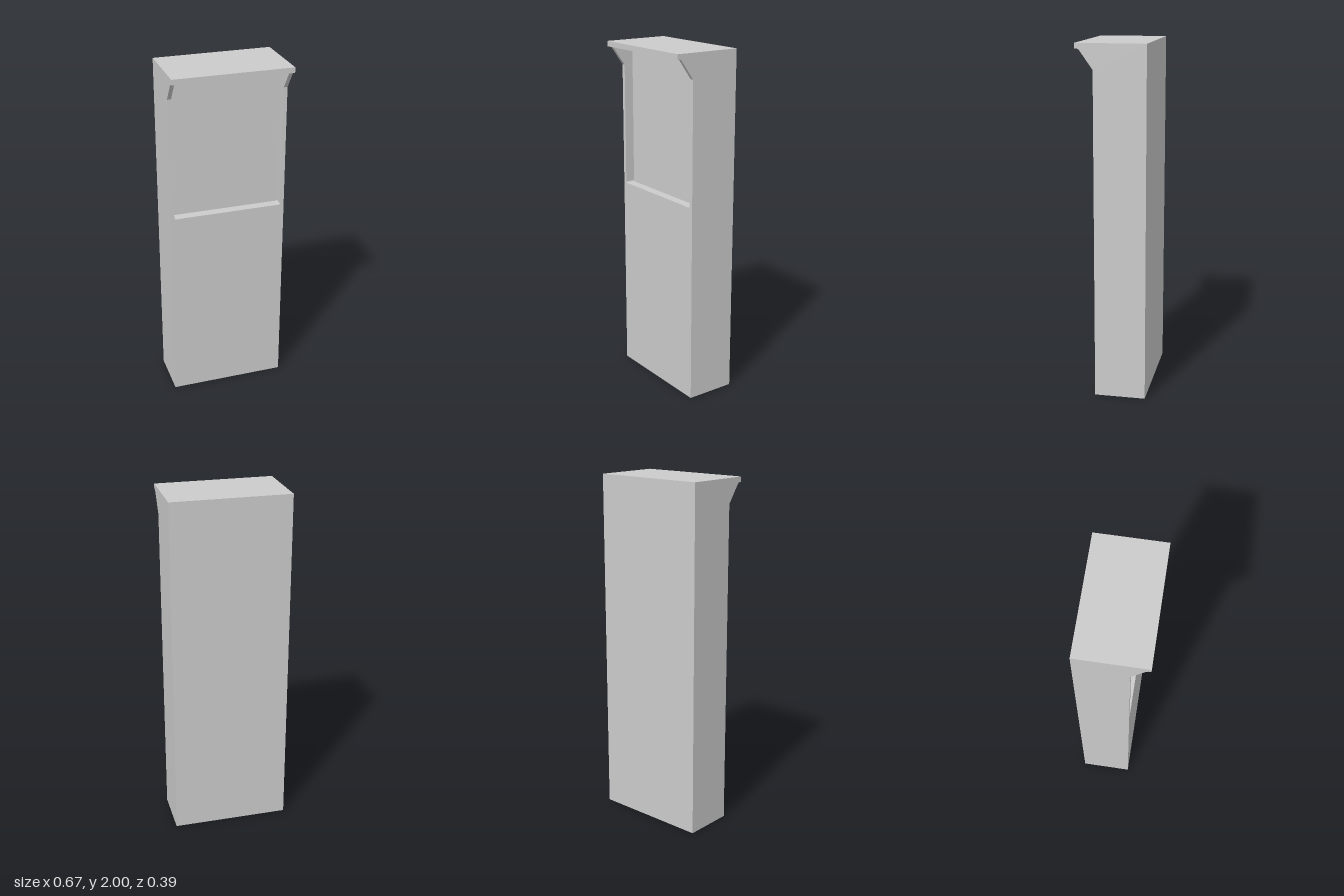
import * as THREE from 'three';

const material = new THREE.MeshStandardMaterial({ color: 0xcccccc, flatShading: true });

const HALF = 0.337, INNER = 0.315;           // outer and recess half widths
const BACK = -0.195, FRONT = 0.095, LIP = 0.195;
const TOP = 2, LIP_Y = 1.97, SILL = 1.155, PANEL = 0.04;

// Extrude a (z, y) side profile between x0 and x1
function sideExtrude(name, points, x0, x1) {
  const shape = new THREE.Shape(points.map(([z, y]) => new THREE.Vector2(z, y)));
  const geometry = new THREE.ExtrudeGeometry(shape, { depth: x1 - x0, bevelEnabled: false });
  geometry.rotateY(-Math.PI / 2).translate(x1, 0, 0);
  const mesh = new THREE.Mesh(geometry, material);
  mesh.name = name;
  return mesh;
}

export function createModel() {
  const group = new THREE.Group();
  group.name = 'kiosk';

  // Cabinet core with the recessed panel and the canopy lip above it
  group.add(sideExtrude('cabinet', [
    [BACK, 0], [FRONT, 0], [FRONT, SILL], [PANEL, SILL],
    [PANEL, LIP_Y], [LIP, LIP_Y], [LIP, TOP], [BACK, TOP],
  ], -INNER, INNER));

  // Side cheeks flaring forward to carry the canopy
  const cheek = [
    [BACK, 0], [FRONT, 0], [FRONT, 1.86], [0.166, 1.96], [0.173, 1.967],
    [0.18, LIP_Y], [LIP, LIP_Y], [LIP, TOP], [BACK, TOP],
  ];
  group.add(sideExtrude('leftCheek', cheek, INNER, HALF));
  group.add(sideExtrude('rightCheek', cheek, -HALF, -INNER));

  // Small fillets in the lower corners of the recess
  const r = 0.01;
  for (const side of [1, -1]) {
    const shape = new THREE.Shape();
    shape.moveTo(side * INNER, SILL);
    shape.lineTo(side * INNER, SILL + r);
    shape.quadraticCurveTo(side * INNER, SILL, side * (INNER - r), SILL);
    const geometry = new THREE.ExtrudeGeometry(shape, {
      depth: FRONT - PANEL, bevelEnabled: false, curveSegments: 4,
    });
    const fillet = new THREE.Mesh(geometry, material);
    fillet.position.z = PANEL;
    fillet.name = side > 0 ? 'leftRecessFillet' : 'rightRecessFillet';
    group.add(fillet);
  }
  return group;
}
